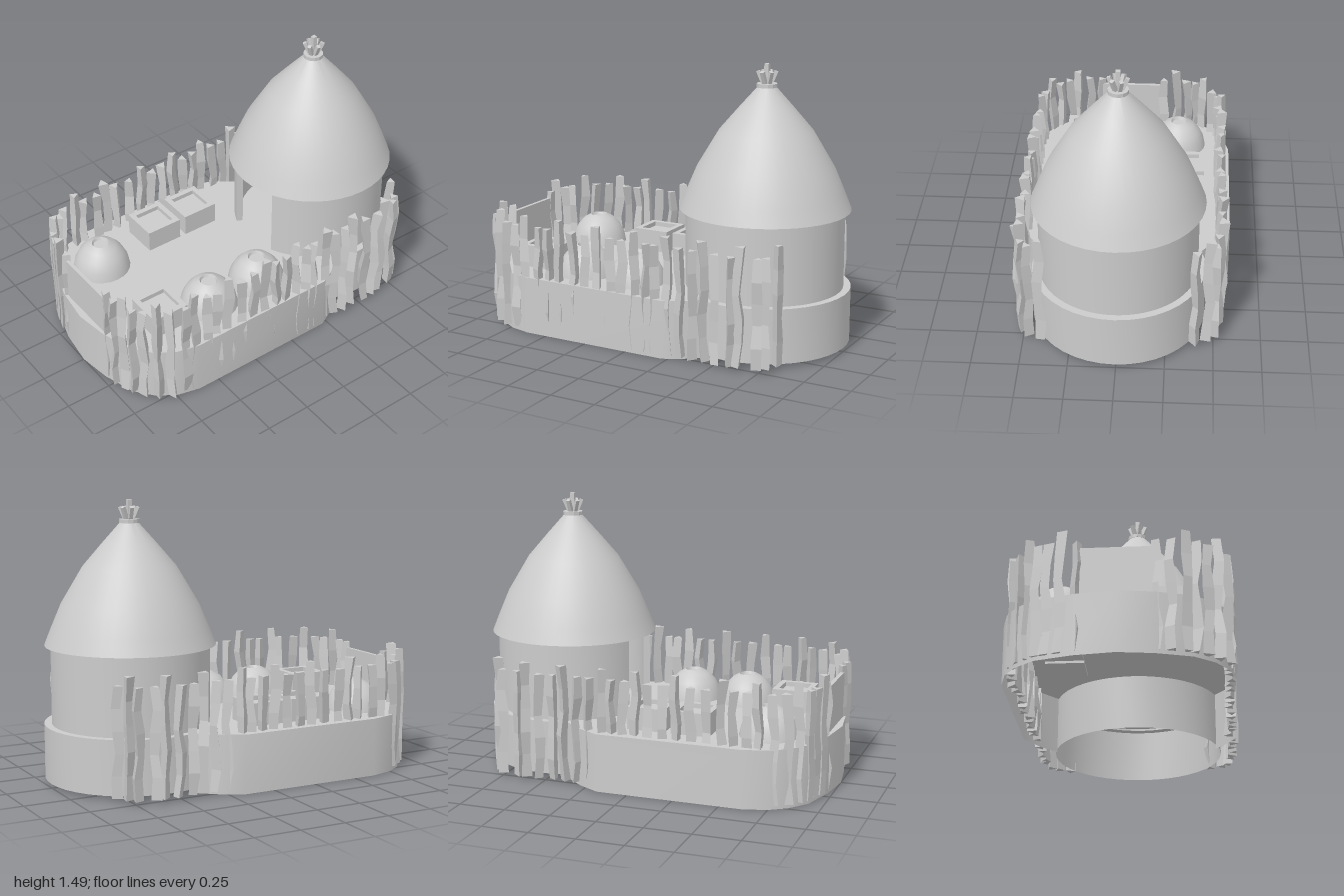
import * as THREE from 'three';
import { toCreasedNormals } from 'three/addons/utils/BufferGeometryUtils.js';

const FLOOR = 0.313, HUT_X = 0.007, HUT_Z = -0.54;

export function createModel() {
  const root = new THREE.Group();
  const smooth = new THREE.MeshStandardMaterial({ color: 0xcccccc, side: THREE.DoubleSide });
  const flat = new THREE.MeshStandardMaterial({ color: 0xcccccc, flatShading: true, side: THREE.DoubleSide });

  function add(name, geometry, material, x = 0, y = 0, z = 0, parent = root) {
    const mesh = new THREE.Mesh(geometry, material);
    mesh.name = name;
    mesh.position.set(x, y, z);
    parent.add(mesh);
    return mesh;
  }
  const lathe = (pts, seg) =>
    toCreasedNormals(new THREE.LatheGeometry(pts.map(p => new THREE.Vector2(...p)), seg), 0.75);

  // Small seeded random
  let seed = 11;
  const rand = () => {
    seed = (seed * 16807) % 2147483647;
    return seed / 2147483647;
  };

  // Yard platform: a skirt and a floor, open underneath
  const outline = [
    [-0.43, -0.4], [-0.52, -0.29], [-0.585, -0.17], [-0.585, 0.62], [-0.55, 0.75], [-0.49, 0.84],
    [-0.39, 0.92], [-0.2, 0.975], [0, 1], [0.18, 0.975], [0.36, 0.92], [0.46, 0.84],
    [0.525, 0.74], [0.555, 0.62], [0.555, -0.22], [0.51, -0.31], [0.44, -0.4]
  ];
  const skirt = [];
  for (let i = 0; i < outline.length - 1; i++) {
    const [ax, az] = outline[i], [bx, bz] = outline[i + 1];
    skirt.push(ax, 0, az, bx, 0, bz, bx, FLOOR, bz, ax, 0, az, bx, FLOOR, bz, ax, FLOOR, az);
  }
  const skirtGeo = new THREE.BufferGeometry();
  skirtGeo.setAttribute('position', new THREE.Float32BufferAttribute(skirt, 3));
  skirtGeo.computeVertexNormals();
  add('platformSkirt', toCreasedNormals(skirtGeo, 0.5), smooth);
  const floorShape = new THREE.Shape(outline.map(([x, z]) => new THREE.Vector2(x, -z)));
  add('platformFloor', new THREE.ShapeGeometry(floorShape).rotateX(-Math.PI / 2), smooth, 0, FLOOR, 0);

  // Round hut
  const hut = new THREE.Group();
  hut.name = 'hut';
  hut.position.set(HUT_X, 0, HUT_Z);
  root.add(hut);
  add('hutBase', lathe([[0.46, 0.02], [0.46, 0.311], [0, 0.311]], 40), smooth, 0, 0, 0, hut);

  // Thick wall with a full-height doorway facing the yard
  const gap = 0.39, start = -Math.PI / 2 + gap, end = Math.PI * 1.5 - gap;
  const wall = new THREE.Shape();
  wall.absarc(0, 0, 0.42, start, end, false);
  wall.absarc(0, 0, 0.385, end, start, true);
  const wallGeo = new THREE.ExtrudeGeometry(wall, { depth: 0.44, bevelEnabled: false, curveSegments: 36 });
  add('hutWall', toCreasedNormals(wallGeo.rotateX(-Math.PI / 2), 0.5), smooth, 0, 0.3, 0, hut);

  // Thatched roof and its crown of sticks
  add('roof', lathe([
    [0.405, 0.74], [0.453, 0.727], [0.42, 0.81], [0.363, 0.945], [0.247, 1.14], [0.14, 1.265], [0.045, 1.372]
  ], 40), smooth, 0, 0, 0, hut);
  add('roofCap', new THREE.CylinderGeometry(0.054, 0.054, 0.02, 12), flat, 0, 1.376, 0, hut);
  add('crownCentreStick', new THREE.BoxGeometry(0.024, 0.11, 0.024), flat, 0, 1.433, 0, hut);
  for (let i = 0; i < 6; i++) {
    const a = i / 6 * Math.PI * 2 + 0.4;
    const pivot = new THREE.Group();
    pivot.name = 'crownStick';
    pivot.position.set(0.018 * Math.sin(a), 1.38, 0.018 * Math.cos(a));
    pivot.rotation.set(0.4, a, 0, 'YXZ');
    hut.add(pivot);
    add('stick', new THREE.BoxGeometry(0.02, 0.08, 0.02), flat, 0, 0.036, 0, pivot);
  }

  // Low board closing the front of the yard
  add('frontBoard', new THREE.BoxGeometry(0.36, 0.26, 0.02), flat, 0.005, 0.43, 0.952);

  // Crates with a recessed top
  const square = (Path, h) => new Path([[-h, -h], [h, -h], [h, h], [-h, h]].map(p => new THREE.Vector2(...p)));
  for (const [x, z] of [[-0.335, 0.05], [-0.335, 0.295], [0.27, 0.67]]) {
    const crate = new THREE.Group();
    crate.name = 'crate';
    crate.position.set(x, 0.3, z);
    root.add(crate);
    const rim = square(THREE.Shape, 0.104);
    rim.holes.push(square(THREE.Path, 0.074));
    const sides = new THREE.ExtrudeGeometry(rim, { depth: 0.135, bevelEnabled: false });
    add('crateSides', sides.rotateX(-Math.PI / 2), flat, 0, 0, 0, crate);
    add('crateFilling', new THREE.BoxGeometry(0.15, 0.11, 0.15), flat, 0, 0.055, 0, crate);
  }

  // Small domed ovens with a sunken opening
  const dome = lathe([
    [0.157, 0], [0.147, 0.05], [0.122, 0.1], [0.085, 0.14], [0.047, 0.16], [0.04, 0.145], [0, 0.145]
  ], 24);
  for (const [x, z] of [[0.313, 0.065], [0.313, 0.385], [-0.288, 0.68]]) add('dome', dome, smooth, x, FLOOR, z);

  // Palisade: crooked three-sided stakes
  function stake(x, z, height) {
    const geo = new THREE.CylinderGeometry(0.032, 0.032, height, 3, 5);
    const p = geo.attributes.position;
    const phase = rand() * 6.28, dir = rand() * 6.28, turn = rand() * 6.28;
    geo.rotateY(turn);
    for (let i = 0; i < p.count; i++) {
      const level = Math.round((p.getY(i) / height + 0.5) * 5);
      const bend = 0.011 * Math.sin(level * 1.9 + phase);
      const size = 0.92 + 0.14 * Math.sin(level * 2.3 + phase * 2);
      p.setX(i, p.getX(i) * size + bend * Math.cos(dir));
      p.setZ(i, p.getZ(i) * size + bend * Math.sin(dir));
    }
    geo.computeVertexNormals();
    add('stake', geo, flat, x, 0.02 + height / 2, z);
  }
  const row = [
    [0.405, -0.805], [0.47, -0.775], [0.505, -0.74], [0.52, -0.645], [0.53, -0.6], [0.535, -0.52],
    [0.525, -0.44], [0.53, -0.38], [0.525, -0.31], [0.525, -0.24], [0.53, -0.16], [0.53, -0.11],
    [0.53, -0.04], [0.53, 0.03], [0.53, 0.1], [0.53, 0.18], [0.53, 0.25], [0.53, 0.33], [0.53, 0.42],
    [0.53, 0.49], [0.53, 0.55], [0.53, 0.635], [0.53, 0.69], [0.52, 0.77], [0.48, 0.83], [0.43, 0.88],
    [0.38, 0.92], [0.33, 0.935], [0.265, 0.955], [0.19, 0.95]
  ];
  for (const side of [1, -1]) {
    row.forEach(([x, z], i) => stake(side * x, z, i % 3 === (side > 0 ? 0 : 1) ? 0.63 : 0.575));
  }
  return root;
}
